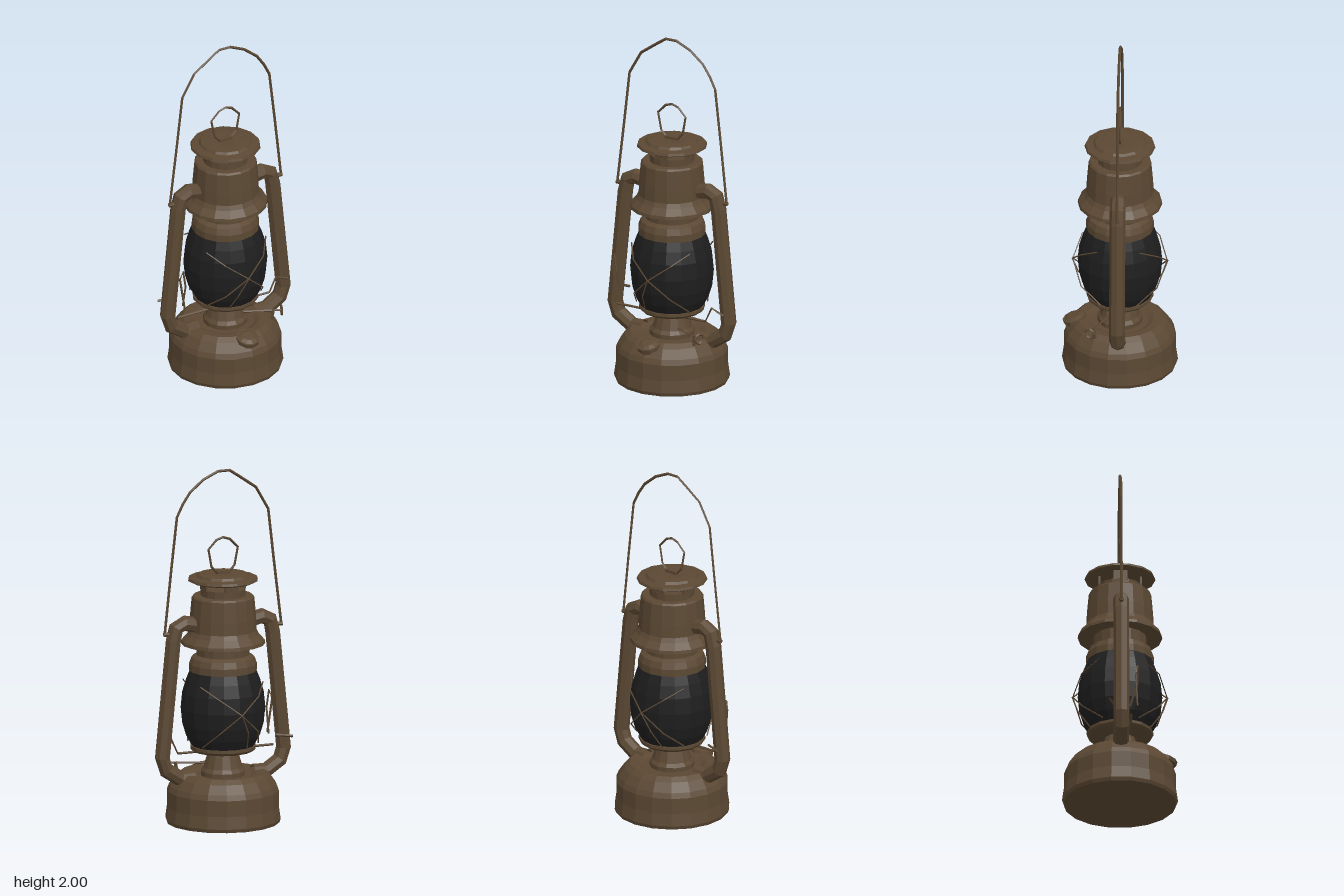
import * as THREE from 'three';

// Curve with straight runs, sampled exactly at its corner points
class Polyline extends THREE.Curve {
  constructor(points) {
    super();
    this.points = points.map((p) => new THREE.Vector3(...p));
  }
  getPoint(t, target = new THREE.Vector3()) {
    const n = this.points.length - 1;
    const f = Math.min(Math.max(t, 0), 1) * n;
    const i = Math.min(Math.floor(f), n - 1);
    return target.lerpVectors(this.points[i], this.points[i + 1], f - i);
  }
  getPointAt(u, target) { return this.getPoint(u, target); }
  getTangentAt(u, target) { return this.getTangent(u, target); }
}

export function createModel() {
  const lantern = new THREE.Group();
  lantern.name = 'lantern';
  const make = (name, color) => {
    const m = new THREE.MeshStandardMaterial({ color, flatShading: true, side: THREE.DoubleSide });
    m.name = name;
    return m;
  };
  const bronze = make('aged bronze', 0x5b4833);
  const glass = make('sooty glass', 0x1e1e1e);

  const add = (name, geometry, material = bronze) => {
    const mesh = new THREE.Mesh(geometry, material);
    mesh.name = name;
    lantern.add(mesh);
    return mesh;
  };
  const lathe = (name, profile, sides, material) =>
    add(name, new THREE.LatheGeometry(profile.map((p) => new THREE.Vector2(...p)), sides), material);
  const wire = (name, points, radius = 0.007, sides = 4) =>
    add(name, new THREE.TubeGeometry(new Polyline(points), points.length - 1, radius, sides));

  // Fuel tank with rounded shoulder and sunken top
  lathe('fuelTank', [[0, 0], [0.315, 0], [0.322, 0.02], [0.312, 0.09], [0.312, 0.18], [0.3, 0.21],
    [0.265, 0.26], [0.235, 0.283], [0.19, 0.28], [0.16, 0.265], [0, 0.265]], 18);

  // Burner cone and the gallery that carries the globe
  lathe('burner', [[0.125, 0.26], [0.125, 0.29], [0.11, 0.31], [0.085, 0.395], [0.115, 0.405],
    [0.17, 0.405], [0.185, 0.42], [0.185, 0.437], [0, 0.437]], 14);

  // Globe
  lathe('globe', [[0.175, 0.435], [0.205, 0.49], [0.226, 0.56], [0.235, 0.65], [0.226, 0.74],
    [0.205, 0.81], [0.183, 0.865]], 16, glass);

  // Collar, skirt, chimney and neck
  lathe('globeCollar', [[0.15, 0.855], [0.188, 0.86], [0.188, 0.9], [0.175, 0.935],
    [0.148, 0.95], [0.148, 1.03]], 16);
  lathe('chimney', [[0.148, 1.015], [0.235, 1.012], [0.232, 1.03], [0.2, 1.065], [0.187, 1.09],
    [0.184, 1.16], [0.174, 1.275], [0.165, 1.285], [0.125, 1.285], [0.125, 1.325], [0, 1.325]], 16);

  // Vent posts under the cap
  for (let i = 0; i < 4; i++) {
    const a = (i * Math.PI) / 2;
    const post = add('ventPost', new THREE.BoxGeometry(0.08, 0.06, 0.012));
    post.position.set(Math.sin(a) * 0.115, 1.35, Math.cos(a) * 0.115);
    post.rotation.y = a;
  }
  lathe('cap', [[0, 1.375], [0.13, 1.375], [0.18, 1.363], [0.197, 1.372], [0.192, 1.386],
    [0.15, 1.392], [0.14, 1.405], [0.09, 1.41], [0, 1.405]], 14);

  // Lifting ring on the cap
  wire('capRing', [[0.035, 1.412, 0], [0.07, 1.45, 0], [0.088, 1.55, 0], [0.04, 1.6, 0], [0, 1.613, 0],
    [-0.04, 1.6, 0], [-0.09, 1.55, 0], [-0.07, 1.45, 0], [-0.035, 1.412, 0]]);
  add('ringFoot', new THREE.BoxGeometry(0.08, 0.016, 0.025)).position.y = 1.415;

  // Carrying bail
  wire('bail', [[-0.355, 1.085, 0], [-0.31, 1.45, 0], [-0.275, 1.75, 0], [-0.2, 1.88, 0],
    [-0.1, 1.95, 0], [-0.04, 1.99, 0], [0.03, 1.99, 0], [0.12, 1.95, 0], [0.2, 1.885, 0],
    [0.245, 1.82, 0], [0.28, 1.75, 0], [0.315, 1.45, 0], [0.355, 1.085, 0]], 0.008);

  for (const s of [-1, 1]) {
    // Side air tube
    wire('airTube', [[s * 0.14, 1.125, 0], [s * 0.235, 1.145, 0], [s * 0.285, 1.12, 0],
      [s * 0.302, 1.05, 0], [s * 0.335, 0.72, 0], [s * 0.368, 0.39, 0], [s * 0.345, 0.32, 0],
      [s * 0.26, 0.265, 0], [s * 0.18, 0.265, 0]], 0.044, 8);
    // Bail pivot
    wire('bailPivot', [[s * 0.29, 1.09, 0], [s * 0.36, 1.09, 0]], 0.012, 6);

    // Crossed guard wires at the front and back of the globe
    for (const d of [-1, 1]) {
      wire('globeGuard', [[-d * 0.19, 0.8, s * 0.12], [-d * 0.12, 0.74, s * 0.215],
        [0, 0.65, s * 0.262], [d * 0.12, 0.54, s * 0.21], [d * 0.17, 0.45, s * 0.1]], 0.004);
    }
    // Short outer guard below
    wire('globeGuardFoot', [[0, 0.65, s * 0.265], [-0.05, 0.54, s * 0.235],
      [-0.07, 0.44, s * 0.17]], 0.004);
  }

  // Globe lift lever
  wire('liftRod', [[-0.33, 0.395, 0.055], [0.25, 0.395, 0.055], [0.29, 0.48, 0.055],
    [0.365, 0.45, 0.055]]);
  wire('liftStub', [[-0.3, 0.47, -0.04], [-0.395, 0.46, -0.065]], 0.008);
  wire('liftLoop', [[-0.3, 0.46, 0.05], [-0.305, 0.6, 0.09], [-0.32, 0.7, 0.09],
    [-0.335, 0.65, 0.08], [-0.31, 0.46, 0.09]], 0.006);

  // Wick shaft and thumb wheel
  wire('wickShaft', [[0.06, 0.325, 0.06], [0.27, 0.325, 0.155]], 0.006);
  const wheel = add('wickWheel', new THREE.TorusGeometry(0.028, 0.006, 4, 8));
  wheel.position.set(0.27, 0.325, 0.155);
  wheel.rotation.y = 1.15;
  wire('wickBracket', [[0.22, 0.27, 0.13], [0.23, 0.33, 0.137]], 0.01);

  // Filler neck and cap on the tank shoulder
  const filler = new THREE.Group();
  filler.name = 'fillerCap';
  [[0.05, 0.055, 0.05, -0.02], [0.067, 0.067, 0.022, 0.012], [0.035, 0.06, 0.012, 0.028]]
    .forEach(([top, bottom, h, y]) => {
      const part = new THREE.Mesh(new THREE.CylinderGeometry(top, bottom, h, 10), bronze);
      part.name = 'fillerPart';
      part.position.y = y;
      filler.add(part);
    });
  filler.position.set(0, 0.255, 0.248);
  filler.rotation.x = 0.3;
  lantern.add(filler);

  return lantern;
}
